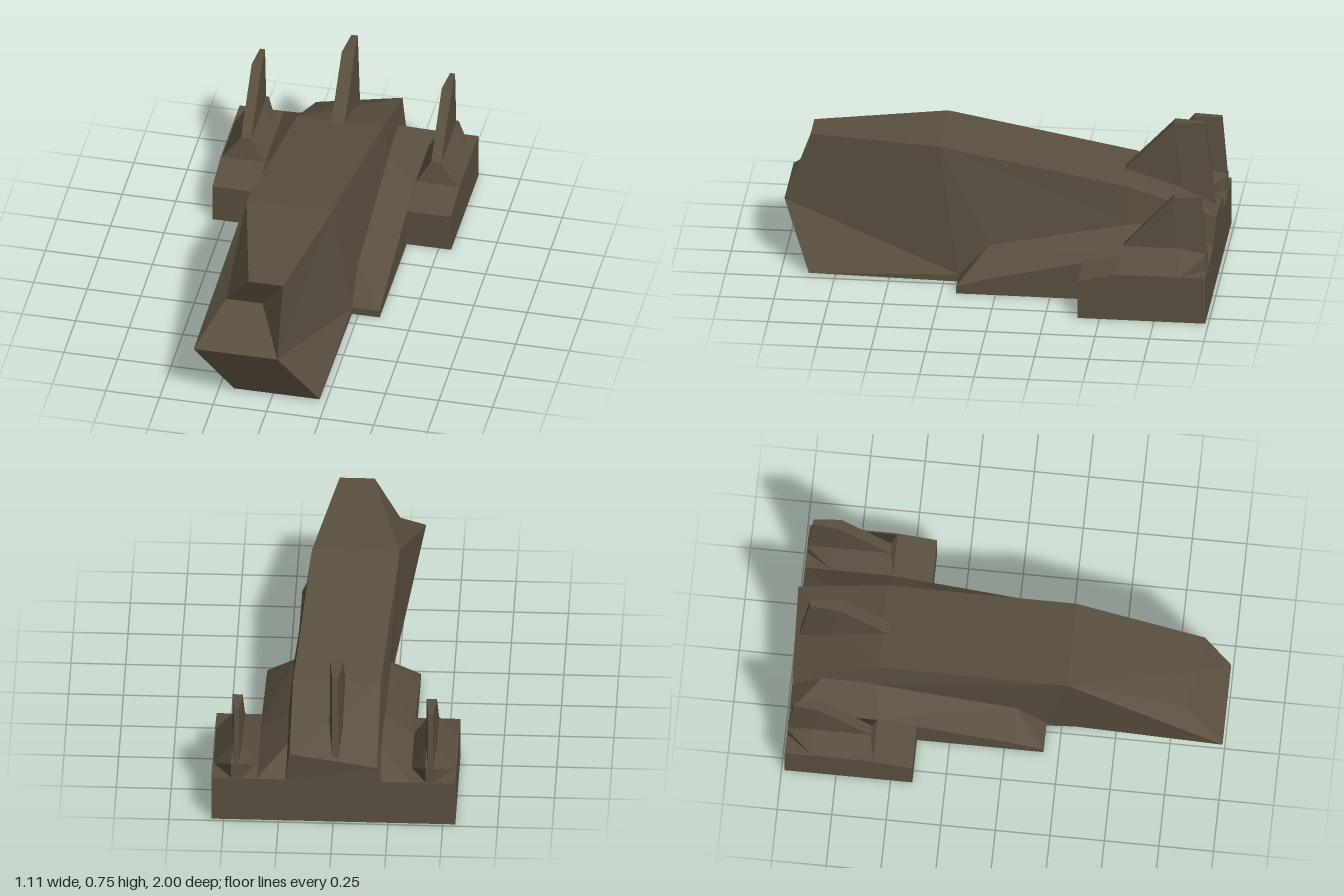
import * as THREE from 'three';
import { ConvexGeometry } from 'three/addons/geometries/ConvexGeometry.js';

const material = new THREE.MeshStandardMaterial({ color: 0x5a503f, flatShading: true });

// Flat-sided solid through a few corner points; side = -1 mirrors it in x
function solid(name, points, side = 1) {
  const geometry = new ConvexGeometry(points.map(([x, y, z]) => new THREE.Vector3(x * side, y, z)));
  const mesh = new THREE.Mesh(geometry, material);
  mesh.name = name;
  return mesh;
}

// Repeats a (y, z) outline at two x positions
const pair = (x0, x1, outline) => outline.flatMap(([y, z]) => [[x0, y, z], [x1, y, z]]);

// Fin with a sloped leading edge and a narrower trailing edge
function fin(name, x0, x1, [root, tip, back, foot], side = 1) {
  const inset = (x1 - x0) * 0.25;
  return solid(name, [
    ...pair(x0, x1, [root, tip]),
    ...pair(x0 + inset, x1 - inset, [back, foot]),
    ...pair(x0, x1, [[foot[0], -0.85]]),
  ], side);
}

// Skewed hull: named corners on the +x side (l) and the -x side (r)
function hull() {
  const l = {
    nose: [0.05, 0.3, 1], chin: [0.22, 0.01, 0.87], brow: [0.05, 0.63, 0.88],
    notch: [-0.06, 0.465, 0.81], crown: [0.15, 0.64, 0.28], tailTop: [0.2, 0.505, -0.59],
    rearTop: [0.2, 0.375, -1],
  };
  const r = {
    nose: [-0.34, 0.3, 1], chin: [-0.18, 0.01, 0.87], brow: [-0.11, 0.63, 0.88],
    notch: [-0.23, 0.465, 0.81], crown: [-0.25, 0.64, 0.28], tailTop: [-0.2, 0.505, -0.59],
    rearTop: [-0.2, 0.3, -0.985],
  };
  for (const [s, c] of [[1, l], [-1, r]]) {
    c.foot = [0.22 * s, 0.035, 0.18];
    c.keel = [0.22 * s, 0, 0.18];
    c.hip = [0.22 * s, 0.195, 0.04];
    c.waist = [0.22 * s, 0.33, -0.6];
    c.rearMid = [0.22 * s, 0.225, -0.985];
    c.rearLow = [0.22 * s, 0, -0.985];
  }
  const flank = (c) => [
    [c.nose, c.chin, c.foot], [c.nose, c.foot, c.crown], [c.chin, c.keel, c.foot],
    [c.crown, c.foot, c.hip], [c.crown, c.hip, c.waist], [c.crown, c.waist, c.tailTop],
    [c.tailTop, c.waist, c.rearTop], [c.waist, c.rearMid, c.rearTop],
    [c.foot, c.keel, c.rearLow, c.rearMid, c.waist, c.hip],
  ];
  // Bands that cross the hull from r to l
  const band = (a, b) => [r[a], l[a], l[b], r[b]];
  const ring = ['chin', 'nose', 'notch', 'brow', 'crown', 'tailTop', 'rearTop', 'rearMid', 'rearLow', 'keel', 'chin'];
  const faces = [
    ...flank(l), [l.nose, l.crown, l.brow], [l.nose, l.brow, l.notch],
    ...flank(r).map((f) => f.reverse()), [r.nose, r.notch, r.crown], [r.notch, r.brow, r.crown],
    ...ring.slice(1).map((name, i) => band(ring[i], name)),
  ];
  const positions = [];
  for (const f of faces) {
    for (let i = 1; i < f.length - 1; i++) positions.push(...f[0], ...f[i], ...f[i + 1]);
  }
  const geometry = new THREE.BufferGeometry();
  geometry.setAttribute('position', new THREE.Float32BufferAttribute(positions, 3));
  geometry.computeVertexNormals();
  const mesh = new THREE.Mesh(geometry, material);
  mesh.name = 'hull';
  return mesh;
}

export function createModel() {
  const model = new THREE.Group();
  model.name = 'spacecraft';
  model.add(hull());

  for (const [side, label] of [[1, 'left'], [-1, 'right']]) {
    // Sloping body between hull and pod
    model.add(solid(label + 'SideBody', [
      ...pair(0.215, 0.35, [[0, 0.18], [0.035, 0.18], [0, -0.985], [0.225, -0.985]]),
      [0.35, 0.075, 0.05], [0.215, 0.195, 0.04],
      [0.35, 0.225, -0.58], [0.215, 0.33, -0.6],
      [0.35, 0.225, -0.86], [0.215, 0.33, -0.85],
    ], side));

    // Outer pod and the ridge under its fin
    model.add(solid(label + 'Pod', pair(0.345, 0.557, [
      [0, -0.4], [0.185, -0.4], [0.225, -0.58], [0.225, -0.985], [0, -0.985],
    ]), side));
    model.add(solid(label + 'PodRidge', [
      ...pair(0.35, 0.555, [[0.22, -0.58], [0.22, -0.86]]),
      ...pair(0.42, 0.467, [[0.33, -0.6], [0.33, -0.86], [0.3, -0.98], [0.22, -0.98]]),
    ], side));
    model.add(fin(label + 'Fin', 0.42, 0.467,
      [[0.33, -0.6], [0.583, -0.83], [0.583, -0.955], [0.29, -0.98]], side));
  }

  // Central tail fin
  model.add(fin('tailFin', -0.037, 0.023,
    [[0.505, -0.555], [0.75, -0.785], [0.75, -0.925], [0.27, -0.98]]));
  return model;
}
